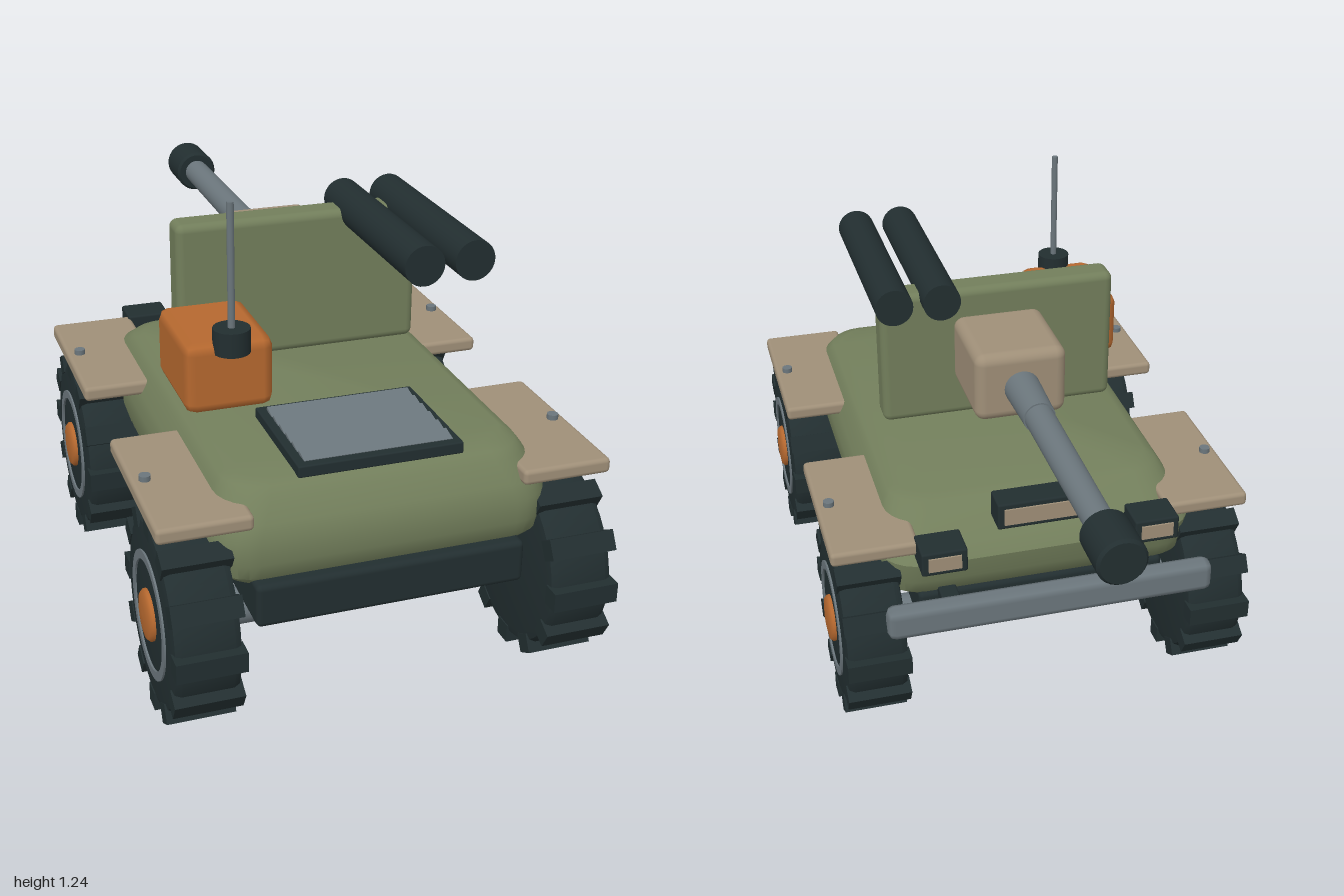
import * as THREE from 'three';
import { toCreasedNormals } from 'three/addons/utils/BufferGeometryUtils.js';
import { RoundedBoxGeometry } from 'three/addons/geometries/RoundedBoxGeometry.js';

const paint = (name, color) => Object.assign(new THREE.MeshStandardMaterial({ color }), { name });

// Loft of rounded rectangles stacked from bottom to top: [y, halfWidth, zMin, zMax, cornerRadius]
function loft(levels, steps = 6) {
  const pos = [], index = [], n = 4 * (steps + 1);
  for (const [y, w, z0, z1, r] of levels) {
    const corners = [[w - r, z1 - r], [-w + r, z1 - r], [-w + r, z0 + r], [w - r, z0 + r]];
    corners.forEach(([cx, cz], q) => {
      for (let i = 0; i <= steps; i++) {
        const a = (q + i / steps) * Math.PI / 2;
        pos.push(cx + r * Math.cos(a), y, cz + r * Math.sin(a));
      }
    });
  }
  for (let k = 0; k < levels.length - 1; k++) {
    for (let i = 0; i < n; i++) {
      const a = k * n + i, b = k * n + (i + 1) % n;
      index.push(a, a + n, b, b, a + n, b + n);
    }
  }
  const top = (levels.length - 1) * n;
  for (let i = 1; i < n - 1; i++) index.push(0, i, i + 1, top, top + i + 1, top + i);
  const g = new THREE.BufferGeometry();
  g.setAttribute('position', new THREE.Float32BufferAttribute(pos, 3));
  g.setIndex(index);
  return toCreasedNormals(g, 0.6);
}

export function createModel() {
  const model = new THREE.Group();
  model.name = 'armouredRover';
  const green = paint('olive green', 0x727e5b);
  const dark = paint('dark rubber', 0x222e30);
  const grey = paint('steel grey', 0x6b767c);
  const orange = paint('burnt orange', 0xb5682f);
  const tan = paint('sand tan', 0x9f8f78);

  const add = (name, geo, mat, x = 0, y = 0, z = 0, parent = model) => {
    const m = new THREE.Mesh(geo, mat);
    m.name = name;
    m.position.set(x, y, z);
    parent.add(m);
    return m;
  };
  // Rounded box given by its limits on each axis
  const box = (name, mat, [x0, x1], [y0, y1], [z0, z1], r = 0.01, seg = 2) =>
    add(name, new RoundedBoxGeometry(x1 - x0, y1 - y0, z1 - z0, seg, r), mat,
      (x0 + x1) / 2, (y0 + y1) / 2, (z0 + z1) / 2);
  // Cylinder along z from z0 (radius r0) to z1 (radius r1)
  const rod = (name, mat, x, y, z0, r0, z1, r1 = r0) =>
    add(name, new THREE.CylinderGeometry(r1, r0, z1 - z0, 28).rotateX(Math.PI / 2), mat, x, y, (z0 + z1) / 2);

  // Hull and chassis
  add('hull', loft([
    [0.385, 0.40, -0.34, 0.87, 0.09],
    [0.41, 0.43, -0.365, 0.89, 0.1],
    [0.45, 0.44, -0.38, 0.90, 0.11],
    [0.51, 0.44, -0.39, 0.90, 0.11],
    [0.55, 0.425, -0.36, 0.885, 0.11],
    [0.60, 0.40, -0.28, 0.85, 0.11],
    [0.62, 0.385, -0.25, 0.83, 0.1],
    [0.63, 0.36, -0.22, 0.80, 0.09],
  ]), green);
  box('chassis', dark, [-0.348, 0.348], [0.29, 0.405], [-0.37, 0.92], 0.015);

  // Bumper
  box('bumper', grey, [-0.455, 0.455], [0.35, 0.44], [-0.49, -0.43], 0.022, 1);
  for (const s of [-1, 1]) box('bumperBracket', dark, [s * 0.27 - 0.025, s * 0.27 + 0.025], [0.37, 0.42], [-0.45, -0.34], 0.005);

  // Wheels, built with the outer face towards +x
  const tyreProfile = [[0.001, -0.085], [0.21, -0.085], [0.232, -0.08], [0.24, -0.065],
    [0.24, 0.065], [0.232, 0.08], [0.21, 0.085], [0.001, 0.085]].map(p => new THREE.Vector2(...p));
  const tyreGeo = toCreasedNormals(new THREE.LatheGeometry(tyreProfile, 48).rotateZ(-Math.PI / 2), 0.5);
  const lugGeo = new THREE.BoxGeometry(0.174, 0.05, 0.052);
  const ringProfile = [[0.139, 0.08], [0.162, 0.08], [0.162, 0.09], [0.139, 0.09], [0.139, 0.08]]
    .map(p => new THREE.Vector2(...p));
  const ringGeo = toCreasedNormals(new THREE.LatheGeometry(ringProfile, 48).rotateZ(-Math.PI / 2), 0.5);
  const hubProfile = [[0.066, 0.07], [0.066, 0.092], [0.058, 0.1], [0.03, 0.104], [0, 0.105]]
    .map(p => new THREE.Vector2(...p));
  const hubGeo = new THREE.LatheGeometry(hubProfile, 24).rotateZ(-Math.PI / 2);
  for (const z of [0.74, -0.225]) {
    for (const s of [-1, 1]) {
      const wheel = new THREE.Group();
      wheel.name = (s > 0 ? 'left' : 'right') + (z > 0 ? 'Front' : 'Rear') + 'Wheel';
      wheel.position.set(s * 0.482, 0.265, z);
      wheel.rotation.y = s > 0 ? 0 : Math.PI;
      model.add(wheel);
      add('tyre', tyreGeo, dark, 0, 0, 0, wheel);
      add('rimRing', ringGeo, grey, 0, 0, 0, wheel);
      add('hubCap', hubGeo, orange, 0, 0, 0, wheel);
      for (let i = 0; i < 12; i++) {
        const a = i * Math.PI / 6;
        add('treadLug', lugGeo, dark, 0, 0.24 * Math.cos(a), 0.24 * Math.sin(a), wheel).rotation.x = a;
      }
    }
    add('axle', new THREE.CylinderGeometry(0.049, 0.049, 0.82, 24).rotateZ(Math.PI / 2), grey, 0, 0.25, z);
  }

  // Fenders with a bolt each
  for (const s of [-1, 1]) {
    for (const [z0, z1, boltZ] of [[-0.39, 0.095, -0.15], [0.405, 0.9, 0.65]]) {
      box('fender', tan, s > 0 ? [0.345, 0.582] : [-0.582, -0.345], [0.547, 0.588], [z0, z1], 0.012);
      add('fenderBolt', new THREE.CylinderGeometry(0.015, 0.015, 0.02, 12), grey, s * 0.547, 0.592, boltZ);
    }
  }

  // Vent grille
  box('grilleFrame', dark, [-0.215, 0.212], [0.625, 0.656], [0.482, 0.826], 0.004);
  for (let i = 0; i < 6; i++) {
    const slat = add('grilleSlat', new THREE.BoxGeometry(0.385, 0.008, 0.044), grey, 0, 0.658, 0.53 + i * 0.05);
    slat.rotation.x = 0.2;
  }

  // Lamps facing the gun end, each with a thin lens
  const lamp = (name, x, w, y0, y1, z0, z1) => {
    box(name, dark, [x - w, x + w], [y0, y1], [z0, z1], 0.006);
    add(name + 'Lens', new THREE.BoxGeometry(w * 2 - 0.035, y1 - y0 - 0.03, 0.008), tan, x, (y0 + y1) / 2, z0 - 0.001);
  };
  lamp('lightBar', 0, 0.133, 0.592, 0.67, -0.395, -0.315);
  for (const s of [-1, 1]) lamp('sideLamp', s * 0.293, 0.062, 0.525, 0.595, -0.46, -0.36);

  // Shield, mantlet and gun
  box('shield', green, [-0.34, 0.337], [0.67, 1.062], [0.108, 0.2], 0.022, 3);
  box('mantlet', tan, [-0.128, 0.128], [0.78, 0.98], [-0.15, 0.13], 0.03, 3);
  rod('barrelSleeve', grey, 0, 0.876, -0.32, 0.044, -0.13, 0.05);
  rod('barrel', grey, 0, 0.876, -0.9, 0.037, -0.3, 0.04);
  const muzzle = [[0, 0], [0.056, 0], [0.063, 0.008], [0.063, 0.132], [0.056, 0.14], [0, 0.14]]
    .map(p => new THREE.Vector2(...p));
  add('muzzle', toCreasedNormals(new THREE.LatheGeometry(muzzle, 28).rotateX(Math.PI / 2), 0.5), dark, 0, 0.876, -1);

  // Twin launch tubes
  for (const x of [0.17, 0.304]) rod('launchTube', dark, x, 1.053, 0.06, 0.053, 0.645);

  // Equipment box and antenna
  box('equipmentBox', orange, [-0.422, -0.195], [0.705, 0.891], [0.295, 0.588], 0.028, 1);
  add('antennaBase', new THREE.CylinderGeometry(0.047, 0.047, 0.063, 20), dark, -0.303, 0.895, 0.577);
  add('antenna', new THREE.CylinderGeometry(0.009, 0.009, 0.345, 10), grey, -0.303, 1.072, 0.577);

  return model;
}
